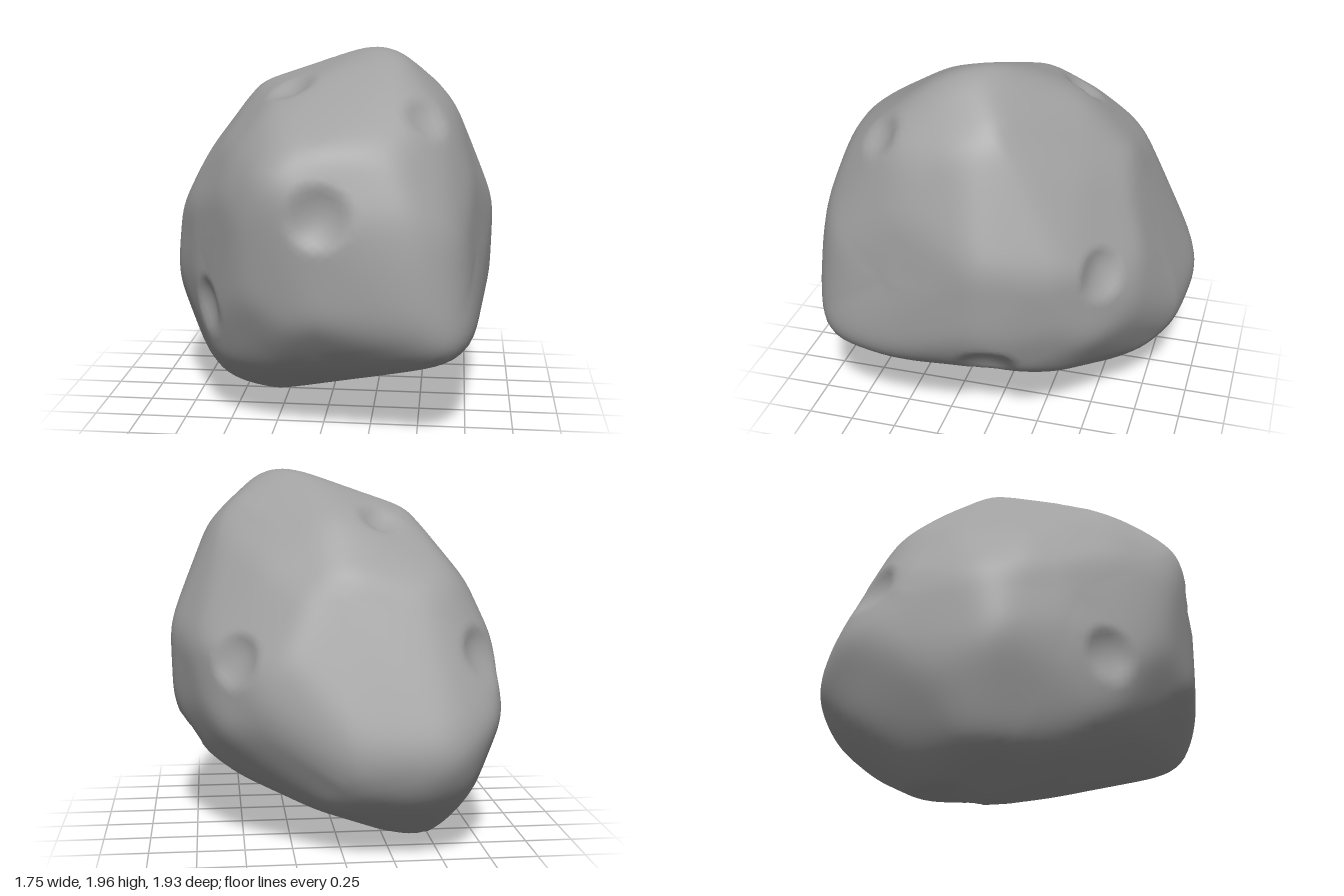
import * as THREE from 'three';
import { mergeVertices } from 'three/addons/utils/BufferGeometryUtils.js';
import { ConvexGeometry } from 'three/addons/geometries/ConvexGeometry.js';

// Clockwise outlines of the boulder around its middle, each facing a given way (u, v pairs)
const OUTLINES = [
  { azimuth: 0, elevation: 0, uv: [-.46, -1, -.73, -.8, -.885, -.33, -.86, .1, -.7, .43, -.4, .8,
    .39, 1, .67, .71, .885, .18, .87, -.24, .77, -.54] },
  { azimuth: 90, elevation: 0, uv: [-.29, 1, -.05, .985, .3, .83, .63, .5, .97, -.39, .89, -.68, .53, -.89,
    .15, -1, -.16, -.92, -.62, -.67, -.97, -.27, -.97, .24, -.85, .58] },
  { azimuth: 0, elevation: 90, uv: [-.52, .98, -.02, .93, .41, .75, .7, .46, .885, .03, .74, -.8,
    .5, -.965, -.01, -.97, -.36, -.87, -.67, -.5, -.885, -.04, -.8, .79] },
  { azimuth: 38, elevation: 25, uv: [-.27, .87, .25, .84, .58, .51, .82, .11, .82, -.23, .68, -.56,
    .25, -.83, -.55, -.77, -.83, -.35, -.84, .18, -.65, .49] },
  { azimuth: 215, elevation: 25, uv: [-.18, 1.1, .6, .78, .8, .4, .82, -.2, .56, -.91, .17, -1.11,
    -.47, -.87, -.82, -.32, -.84, .16, -.52, .83] },
  { azimuth: 132, elevation: -25, uv: [-.35, .96, .3, .8, .79, .4, 1.1, -.21, .57, -.89, .27, -.97,
    -.09, -.93, -1.06, -.38, -1.06, .11, -.79, .68] },
];

// Craters: direction x, y, z from the middle, then radius
const CRATERS = [
  [.02, .25, .95, .16], [-.18, .83, .36, .13], [.52, .69, .57, .12],
  [-.22, .73, -.3, .12], [-.64, -.32, .6, .14], [-.35, -.93, -.3, .18],
  [.82, -.51, -.04, .16], [.6, .07, -.65, .14], [-.71, .08, -.63, .15],
];
const CRATER_DEPTH = 0.36; // as a share of the radius

// Each outline edge gives a bounding plane, each corner a line of sight that grazes the boulder
function readOutlines() {
  const planes = [], corners = [];
  for (const { azimuth, elevation, uv } of OUTLINES) {
    const a = THREE.MathUtils.degToRad(azimuth), e = THREE.MathUtils.degToRad(elevation);
    const right = new THREE.Vector3(Math.cos(a), 0, -Math.sin(a));
    const up = new THREE.Vector3(-Math.sin(a) * Math.sin(e), Math.cos(e), -Math.cos(a) * Math.sin(e));
    const sight = right.clone().cross(up);
    const points = [];
    for (let i = 0; i < uv.length; i += 2) {
      points.push(right.clone().multiplyScalar(uv[i]).addScaledVector(up, uv[i + 1]));
    }
    points.forEach((point, i) => {
      const edge = points[(i + 1) % points.length].clone().sub(point);
      const normal = sight.clone().cross(edge).normalize();
      planes.push({ normal, distance: normal.dot(point) });
      corners.push({ point, sight });
    });
  }
  return { planes, corners };
}

// Middle of the stretch of a line of sight that lies inside all planes
function touchPoint({ point, sight }, planes) {
  let near = -2, far = 2;
  for (const { normal, distance } of planes) {
    const slope = normal.dot(sight);
    if (Math.abs(slope) < 1e-4) continue;
    const s = (distance - normal.dot(point)) / slope;
    if (slope > 0) far = Math.min(far, s);
    else near = Math.max(near, s);
  }
  return point.clone().addScaledVector(sight, (near + far) / 2);
}

// Planes of the faces of the convex body spanned by the points
function hullPlanes(points) {
  const pos = new ConvexGeometry(points).attributes.position;
  const planes = [];
  for (let i = 0; i < pos.count; i += 3) {
    const [a, b, c] = [0, 1, 2].map((k) => new THREE.Vector3().fromBufferAttribute(pos, i + k));
    const normal = b.sub(a).cross(c.sub(a)).normalize();
    planes.push({ normal, distance: normal.dot(a) });
  }
  return planes;
}

function radiusAlong(direction, planes) {
  let radius = Infinity;
  for (const { normal, distance } of planes) {
    const facing = normal.dot(direction);
    if (facing > 1e-4) radius = Math.min(radius, distance / facing);
  }
  return radius;
}

// Mean of each vertex with its neighbours
function smooth(radii, index) {
  const sum = radii.slice(), count = radii.map(() => 1);
  for (let i = 0; i < index.count; i++) {
    const a = index.getX(i), b = index.getX(i % 3 === 2 ? i - 2 : i + 1);
    sum[a] += radii[b];
    count[a]++;
  }
  return sum.map((s, i) => s / count[i]);
}

function boulderGeometry() {
  const sphere = new THREE.IcosahedronGeometry(1, 30);
  sphere.deleteAttribute('uv');
  sphere.deleteAttribute('normal');
  const geometry = mergeVertices(sphere, 1e-4);
  const pos = geometry.attributes.position;
  const directions = Array.from({ length: pos.count }, (_, i) =>
    new THREE.Vector3().fromBufferAttribute(pos, i).normalize());

  // Body, half way between the outer planes and the hull of the points that touch them
  const { planes, corners } = readOutlines();
  const inner = hullPlanes(corners.map((corner) => touchPoint(corner, planes)));
  let radii = directions.map((d) => (radiusAlong(d, planes) + radiusAlong(d, inner)) / 2);
  for (let pass = 0; pass < 6; pass++) radii = smooth(radii, geometry.index);

  // Crater bowls, pressed in towards the middle
  for (const [x, y, z, size] of CRATERS) {
    const centre = new THREE.Vector3(x, y, z).normalize();
    radii = radii.map((r, i) => {
      const t = directions[i].distanceTo(centre) * r / size;
      return t < 1 ? r - CRATER_DEPTH * size * (1 - t * t) : r;
    });
  }

  directions.forEach((d, i) => pos.setXYZ(i, d.x * radii[i], d.y * radii[i] + 1, d.z * radii[i]));
  geometry.computeVertexNormals();
  return geometry;
}

export function createModel() {
  const group = new THREE.Group();
  group.name = 'crateredBoulder';
  const boulder = new THREE.Mesh(boulderGeometry(), new THREE.MeshStandardMaterial({ color: 0xa0a0a0 }));
  boulder.name = 'boulder';
  group.add(boulder);
  return group;
}
